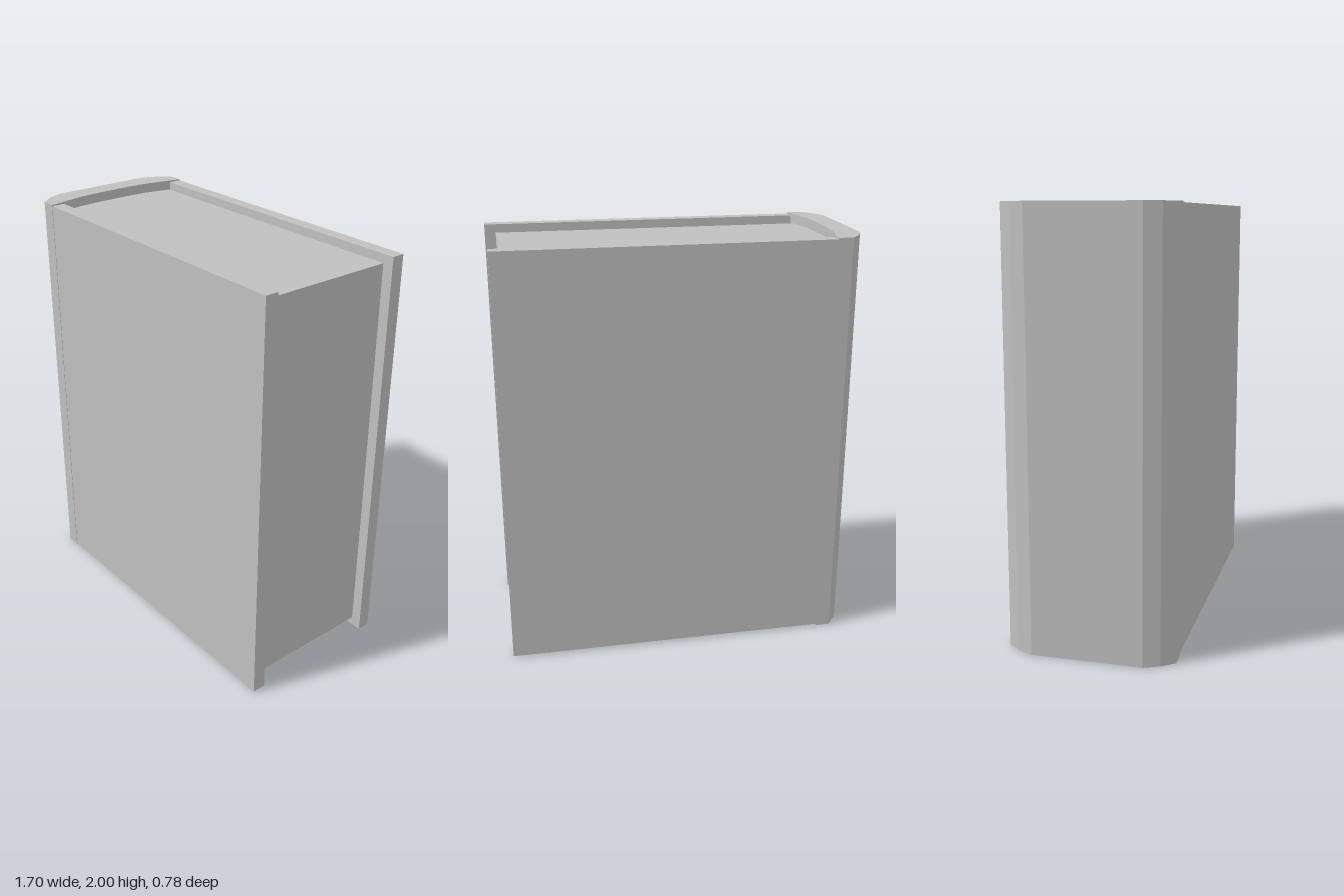
import * as THREE from 'three';

export function createModel() {
  const book = new THREE.Group();
  book.name = 'book';
  const grey = new THREE.MeshStandardMaterial({ color: 0xc0c0c0 });
  grey.name = 'plain grey';

  const addBox = (name, x0, x1, y0, y1, z0, z1) => {
    const mesh = new THREE.Mesh(new THREE.BoxGeometry(x1 - x0, y1 - y0, z1 - z0), grey);
    mesh.position.set((x0 + x1) / 2, (y0 + y1) / 2, (z0 + z1) / 2);
    mesh.name = name;
    book.add(mesh);
  };

  // Boards overhang the page block on three sides
  addBox('frontCover', -0.7, 0.85, 0.008, 1.994, 0.323, 0.388);
  addBox('backCover', -0.7, 0.85, 0.008, 1.994, -0.39, -0.328);

  // Page block, tucked into the hollow of the spine
  addBox('pages', -0.755, 0.798, 0.05, 1.953, -0.328, 0.323);

  // Spine: one half of its plan as [x, z], mirrored across z = 0
  const outer = [[-0.85, 0.257], [-0.817, 0.33], [-0.77, 0.39], [-0.7, 0.39]];
  const inner = [[-0.7, 0.38], [-0.737, 0.2], [-0.744, 0.09]];
  const half = [...outer, ...inner];
  const mirrored = half.map(([x, z]) => [x, -z]).reverse();
  const plan = new THREE.Shape([...half, ...mirrored].map(([x, z]) => new THREE.Vector2(x, -z)));
  const spineGeometry = new THREE.ExtrudeGeometry(plan, { depth: 2, bevelEnabled: false });
  spineGeometry.rotateX(-Math.PI / 2); // stand the plan upright
  const spine = new THREE.Mesh(spineGeometry, grey);
  spine.name = 'spine';
  book.add(spine);

  return book;
}
